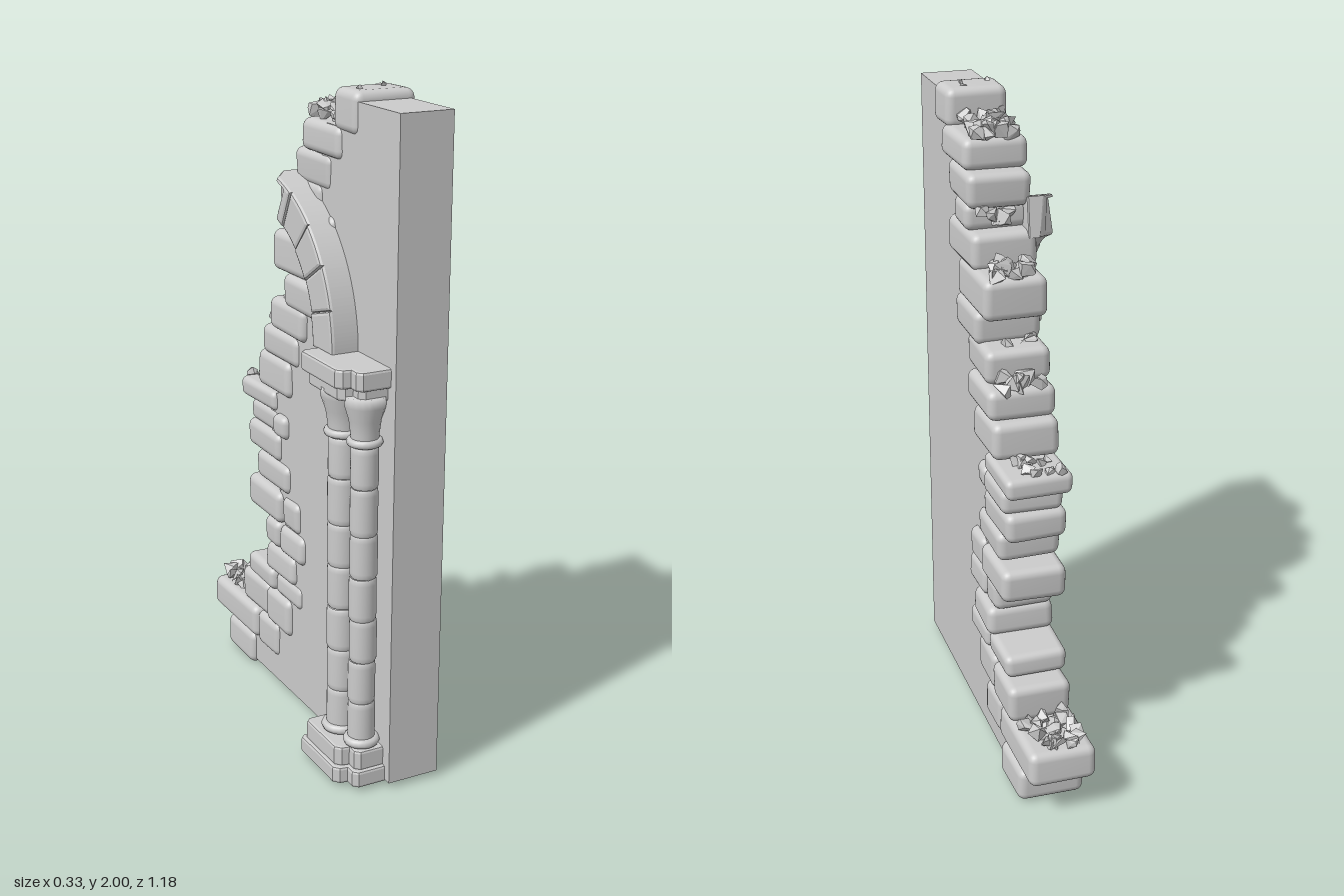
import * as THREE from 'three';
import { mergeVertices } from 'three/addons/utils/BufferGeometryUtils.js';
import { RoundedBoxGeometry } from 'three/addons/geometries/RoundedBoxGeometry.js';
import { ConvexGeometry } from 'three/addons/geometries/ConvexGeometry.js';

let seed = 7;
const rand = () => (seed = (seed * 16807) % 2147483647) / 2147483647;
const vary = (a) => (rand() - 0.5) * 2 * a;

const smooth = new THREE.MeshStandardMaterial({ color: 0xcccccc });
const flat = new THREE.MeshStandardMaterial({ color: 0xcccccc, flatShading: true });

function add(parent, name, geometry, material = flat) {
  const mesh = new THREE.Mesh(geometry, material);
  mesh.name = name;
  parent.add(mesh);
  return mesh;
}

function group(parent, name) {
  const g = new THREE.Group();
  g.name = name;
  parent.add(g);
  return g;
}

const shapeOf = (points) => new THREE.Shape(points.map(([a, b]) => new THREE.Vector2(a, b)));

// Extrudes a (z, y) outline across x, from x0 down to x1
function extrudeAcross(shape, x0, x1, bevel = 0) {
  const g = new THREE.ExtrudeGeometry(shape, {
    depth: x0 - x1 - 2 * bevel, bevelEnabled: bevel > 0, bevelSize: bevel,
    bevelThickness: bevel, bevelOffset: -bevel, bevelSegments: 2, curveSegments: 6,
  });
  return g.translate(0, 0, bevel).rotateY(-Math.PI / 2).translate(x0, 0, 0);
}

// Extrudes an (x, z) outline upwards from y0 to y1
function slab(points, y0, y1, bevel) {
  const g = new THREE.ExtrudeGeometry(shapeOf(points.map(([x, z]) => [x, -z])), {
    depth: y1 - y0 - 2 * bevel, bevelEnabled: true, bevelSize: bevel,
    bevelThickness: bevel, bevelOffset: -bevel, bevelSegments: 2,
  });
  return g.rotateX(-Math.PI / 2).translate(0, y0 + bevel, 0);
}

// Worn block: a rounded box whose corners are pulled slightly out of square
function stone(w, h, d) {
  let g = new RoundedBoxGeometry(w, h, d, 3, Math.min(0.026, h * 0.32));
  g.deleteAttribute('normal');
  g.deleteAttribute('uv');
  g = mergeVertices(g, 1e-4);
  const p = g.attributes.position;
  const k = Array.from({ length: 6 }, () => vary(0.05));
  for (let i = 0; i < p.count; i++) {
    const x = p.getX(i) / w, y = p.getY(i) / h, z = p.getZ(i) / d;
    p.setXYZ(i,
      w * x * (1 + k[0] * z + k[1] * y),
      h * y * (1 + k[2] * x + k[3] * z),
      d * z * (1 + k[4] * x + k[5] * y));
  }
  g.computeVertexNormals();
  return g;
}

// Broken edge of the wall, top to bottom: [z front, z back, y bottom, y top]
const STONES = [
  [0.37, 0.23, 1.87, 1.985], [0.28, 0.05, 1.79, 1.88], [0.22, 0, 1.69, 1.79],
  [0.17, 0.03, 1.62, 1.7], [0.24, -0.02, 1.51, 1.62], [0.14, -0.14, 1.4, 1.52],
  [0.16, -0.06, 1.3, 1.4], [0.07, -0.15, 1.21, 1.31], [0.02, -0.21, 1.12, 1.21],
  [-0.03, -0.24, 1.01, 1.12], [-0.13, -0.36, 0.94, 1.0], [-0.05, -0.13, 0.87, 0.94],
  [-0.12, -0.31, 0.87, 0.94], [-0.1, -0.325, 0.78, 0.87], [-0.04, -0.26, 0.69, 0.78],
  [0.03, -0.09, 0.58, 0.68], [-0.09, -0.32, 0.58, 0.68], [0.06, -0.1, 0.49, 0.58],
  [-0.1, -0.2, 0.49, 0.58], [0, -0.19, 0.4, 0.49], [0.04, -0.14, 0.33, 0.4],
  [-0.14, -0.33, 0.33, 0.4], [-0.03, -0.2, 0.21, 0.33], [-0.2, -0.39, 0.21, 0.325],
  [-0.12, -0.27, 0.1, 0.215], [-0.27, -0.585, 0.11, 0.215], [-0.3, -0.495, 0.0, 0.105],
];

// Loose rubble: [z centre, z half spread, y, piece count, piece size]
const RUBBLE = [
  [0.3, 0.04, 1.985, 3, 0.012], [0.14, 0.09, 1.89, 24, 0.036], [0.01, 0.02, 1.66, 5, 0.034],
  [-0.085, 0.06, 1.525, 14, 0.036], [-0.08, 0.02, 1.31, 4, 0.026], [-0.19, 0.04, 1.22, 8, 0.038],
  [-0.29, 0.05, 1.0, 14, 0.024], [-0.48, 0.075, 0.22, 24, 0.034],
];

function buildWall(root) {
  // Plain slab with a stepped edge hidden inside the stones
  const edge = [
    [0.3, 1.96], [0.3, 1.88], [0.19, 1.88], [0.13, 1.69], [0.12, 1.51], [0.08, 1.4],
    [0.06, 1.3], [-0.01, 1.2], [-0.08, 1.1], [-0.11, 1.01], [-0.18, 0.98], [-0.16, 0.8],
    [-0.12, 0.7], [-0.08, 0.6], [-0.06, 0.49], [-0.08, 0.4], [-0.13, 0.28], [-0.2, 0.2],
    [-0.32, 0.1], [-0.34, 0.015],
  ];
  add(root, 'wallCore', extrudeAcross(shapeOf([[0.59, 0.015], [0.59, 1.96], ...edge].reverse()), 0.132, -0.03));

  const blocks = group(root, 'brokenEdgeStones');
  for (const [zf, zb, y0, y1] of STONES) {
    const m = add(blocks, 'edgeStone', stone(0.198 + vary(0.008), y1 - y0 + 0.004, zf - zb), smooth);
    m.position.set(0.053 + vary(0.006), (y0 + y1) / 2, (zf + zb) / 2);
    m.rotation.set(vary(0.012), vary(0.02), vary(0.02));
  }

  const rubble = group(root, 'rubble');
  for (const [z, spread, y, count, size] of RUBBLE) {
    for (let i = 0; i < count; i++) {
      const points = Array.from({ length: 9 }, () =>
        new THREE.Vector3(vary(1), vary(1), vary(1)).normalize().multiplyScalar(size * (0.7 + 0.3 * rand())));
      const m = add(rubble, 'rubblePiece', new ConvexGeometry(points));
      m.position.set(0.055 + vary(0.07), y + rand() * size * 0.7, z + vary(spread));
    }
  }
}

// Column of stacked drums with moulded rings and a flared capital
function buildColumn(root, name, x, z, r) {
  const col = group(root, name);
  col.position.set(x, 0, z);
  const seams = [0.13, 0.26, 0.39, 0.52, 0.65, 0.78, 0.92, 1.04];
  for (let i = 0; i < seams.length - 1; i++) {
    const a = seams[i], b = seams[i + 1], e = 0.006;
    const profile = [[r * 0.9, a], [r * 0.98, a + e], [r, a + 3 * e], [r, b - 3 * e], [r * 0.98, b - e], [r * 0.9, b]];
    const m = add(col, 'drum', new THREE.LatheGeometry(profile.map((p) => new THREE.Vector2(...p)), 20), smooth);
    m.position.set(vary(0.002), 0, vary(0.002));
  }
  for (const [y, tube] of [[0.135, 0.014], [1.055, 0.012]]) {
    add(col, 'ring', new THREE.TorusGeometry(r, tube, 8, 20).rotateX(Math.PI / 2), smooth).position.y = y;
  }
  const flare = [[r * 0.95, 1.04], [r * 1.02, 1.08], [r * 1.15, 1.12], [r * 1.45, 1.16], [r * 1.5, 1.19], [0, 1.19]];
  add(col, 'capital', new THREE.LatheGeometry(flare.map((p) => new THREE.Vector2(...p)), 20), smooth);
}

// Stepped plan shared by the plinth and the capital slabs, shrunk by s
const plan = (s) => [
  [-0.02, 0.29 + s], [-0.155 + s, 0.29 + s], [-0.168 + s, 0.303 + s], [-0.168 + s, 0.5 - s],
  [-0.152 + s, 0.518 - s], [-0.13 + s, 0.522 - s], [-0.13 + s, 0.55 - s], [-0.115 + s, 0.565 - s], [-0.02, 0.565 - s],
].reverse();

function buildColumns(root) {
  buildColumn(root, 'mainColumn', -0.083, 0.4, 0.047);
  buildColumn(root, 'sideColumn', -0.076, 0.505, 0.04);
  const slabs = group(root, 'plinthAndCapitalSlabs');
  for (const [s, y0, y1] of [[0, 0.008, 0.06], [0.012, 0.055, 0.118], [0.016, 1.175, 1.225], [0, 1.215, 1.272]]) {
    add(slabs, 'slab', slab(plan(s), y0, y1, 0.008));
  }
}

// Half arch of wedge stones rising from the capital and breaking off
function buildArch(root) {
  const arch = group(root, 'brokenArch');
  const [cz, cy, inner, outer, count, end] = [-0.08, 1.265, 0.34, 0.46, 5, 1.4];
  for (let i = 0; i < count; i++) {
    const a = (end * i) / count, b = (end * (i + 1)) / count;
    const s = new THREE.Shape();
    s.absarc(cz, cy, outer, a, b, false);
    s.absarc(cz, cy, inner, b, a, true);
    const g = extrudeAcross(s, -0.02, -0.114 + 0.003 * (i % 2), 0.01);
    // The broken tip tapers back to the wall
    const p = g.attributes.position;
    for (let j = 0; j < p.count; j++) {
      const t = THREE.MathUtils.clamp((0.04 - p.getZ(j)) / 0.06, 0, 1);
      p.setX(j, THREE.MathUtils.lerp(p.getX(j), -0.02 + (p.getX(j) + 0.02) * 0.4, t));
    }
    g.computeVertexNormals();
    add(arch, 'wedgeStone', g);
  }
}

export function createModel() {
  seed = 7;
  const root = new THREE.Group();
  root.name = 'ruinedWall';
  buildWall(root);
  buildColumns(root);
  buildArch(root);
  return root;
}
